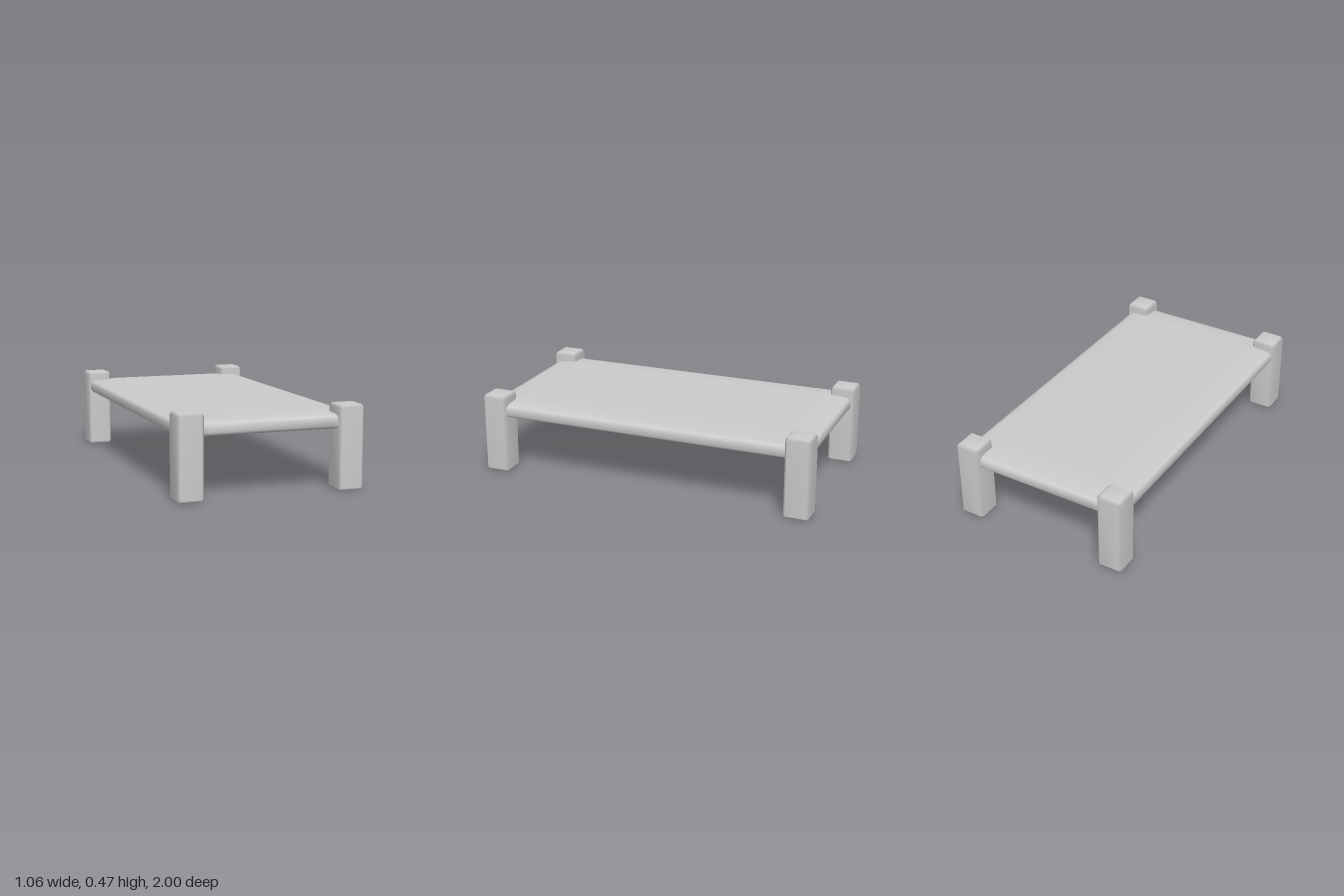
import * as THREE from 'three';
import { mergeVertices } from 'three/addons/utils/BufferGeometryUtils.js';
import { ConvexGeometry } from 'three/addons/geometries/ConvexGeometry.js';

const material = new THREE.MeshStandardMaterial({ color: 0xcccccc });

// Share vertices so shading runs smoothly over the bevels
function smooth(geometry) {
  geometry.deleteAttribute('normal');
  geometry.deleteAttribute('uv');
  const merged = mergeVertices(geometry, 1e-4);
  merged.computeVertexNormals();
  return merged;
}

// Box with one flat bevel on every edge
function bevelledBox(w, h, d, bevel) {
  const points = [];
  for (const x of [-w / 2, w / 2]) for (const y of [-h / 2, h / 2]) for (const z of [-d / 2, d / 2]) {
    const full = [x, y, z];
    for (let axis = 0; axis < 3; axis++) {
      const p = full.map((v, i) => (i === axis ? v : v - Math.sign(v) * bevel));
      points.push(new THREE.Vector3(...p));
    }
  }
  return smooth(new ConvexGeometry(points));
}

// Slab that thins softly towards a rounded rim
function softSlab(halfX, halfZ) {
  const insets = [0, 0.012, 0.04, 0.13, 0.17];
  const heights = [0.018, 0.032, 0.04, 0.045, 0.045];
  const n = insets.length * 2 - 1;
  const geometry = new THREE.BoxGeometry(1, 1, 1, n, 1, n);
  const pos = geometry.attributes.position;
  for (let i = 0; i < pos.count; i++) {
    const ring = (v) => Math.round((0.5 - Math.abs(v)) * n);
    const x = pos.getX(i), z = pos.getZ(i);
    const rx = ring(x), rz = ring(z);
    pos.setXYZ(i,
      Math.sign(x) * (halfX - insets[rx]),
      Math.sign(pos.getY(i)) * heights[Math.min(rx, rz)],
      Math.sign(z) * (halfZ - insets[rz]));
  }
  return smooth(geometry);
}

export function createModel() {
  const group = new THREE.Group();
  group.name = 'lowTable';

  const top = new THREE.Mesh(softSlab(0.517, 0.98), material);
  top.name = 'tabletop';
  top.position.y = 0.377;
  group.add(top);

  // Four corner posts rising above the top
  const legGeometry = bevelledBox(0.148, 0.47, 0.148, 0.015);
  for (const [sx, side] of [[1, 'Left'], [-1, 'Right']]) {
    for (const [sz, end] of [[1, 'front'], [-1, 'back']]) {
      const leg = new THREE.Mesh(legGeometry, material);
      leg.name = `${end}${side}Leg`;
      leg.position.set(sx * 0.457, 0.235, sz * 0.926);
      group.add(leg);
    }
  }
  return group;
}
